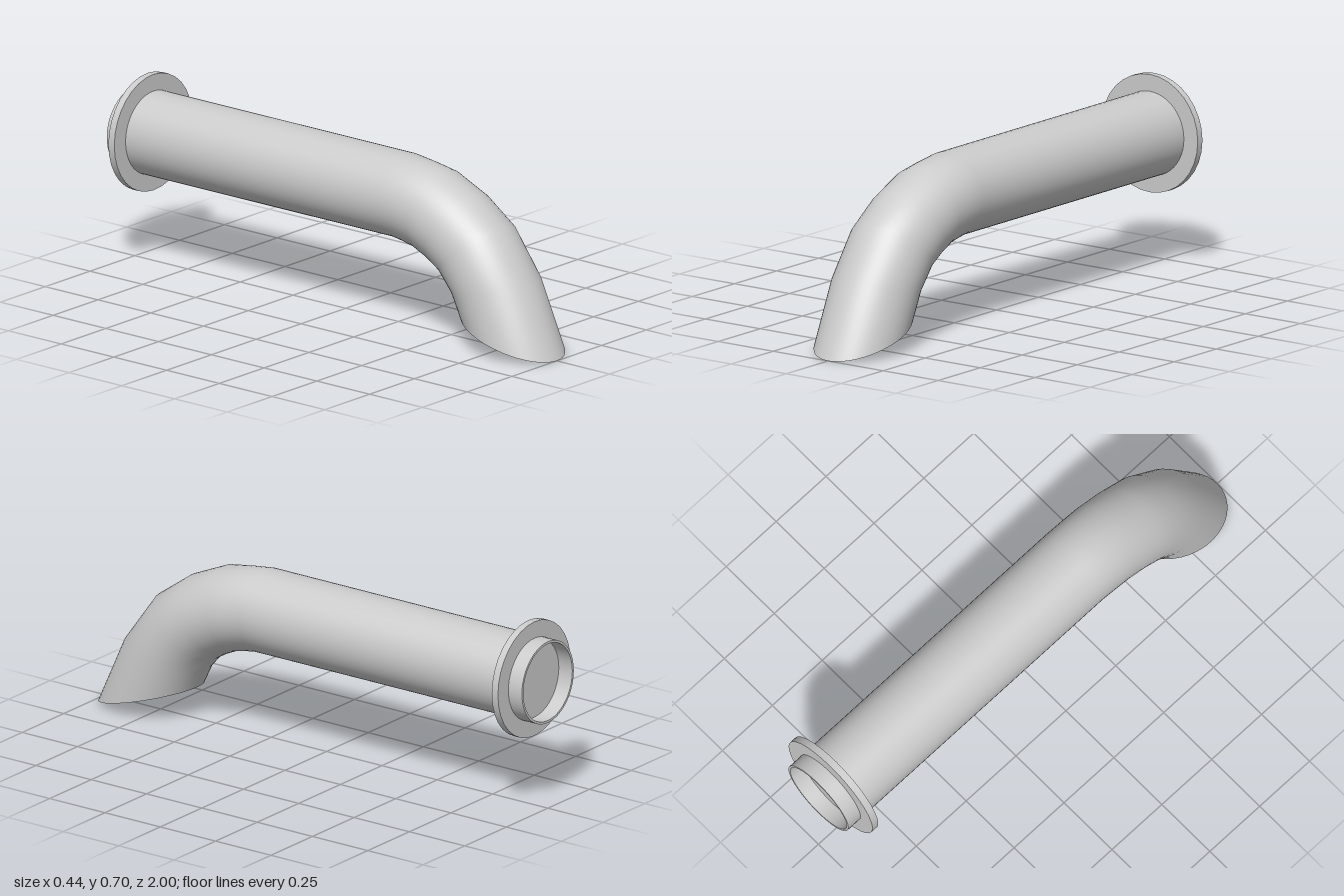
import * as THREE from 'three';

const SIDES = 48;
const WALL = 0.009;

// Cross-sections along the pipe: [top z, top y, bottom z, bottom y, half width]
const SECTIONS = [
  [-1, 0.64, -1, 0.328, 0.156],
  [0.28, 0.64, 0.28, 0.328, 0.156],
  [0.37, 0.628, 0.33, 0.32, 0.157],
  [0.466, 0.612, 0.385, 0.308, 0.158],
  [0.61, 0.548, 0.445, 0.281, 0.159],
  [0.744, 0.452, 0.497, 0.25, 0.16],
  [0.878, 0.268, 0.548, 0.193, 0.16],
  [1.0, 0.0, 0.584, 0.12, 0.16],
];

// One elliptical ring of points, shrunk inwards by inset
function ring([tz, ty, bz, by, w], inset) {
  const k = 1 - inset / w;
  const cz = (tz + bz) / 2, cy = (ty + by) / 2;
  const points = [];
  for (let i = 0; i < SIDES; i++) {
    const a = (i / SIDES) * Math.PI * 2;
    const c = Math.cos(a) * k / 2;
    points.push([Math.sin(a) * w * k, cy + (ty - by) * c, cz + (tz - bz) * c]);
  }
  return points;
}

// Smooth skin joining consecutive rings
function loft(rings) {
  const index = [];
  for (let r = 0; r < rings.length - 1; r++) {
    for (let i = 0; i < SIDES; i++) {
      const j = (i + 1) % SIDES;
      const a = r * SIDES + i, b = r * SIDES + j;
      index.push(a, a + SIDES, b, b, a + SIDES, b + SIDES);
    }
  }
  const geometry = new THREE.BufferGeometry();
  geometry.setAttribute('position', new THREE.Float32BufferAttribute(rings.flat(2), 3));
  geometry.setIndex(index);
  geometry.computeVertexNormals();
  return geometry;
}

export function createModel() {
  const model = new THREE.Group();
  model.name = 'bentPipe';
  const material = new THREE.MeshStandardMaterial({ color: 0xcccccc });
  const add = (name, geometry) => {
    const mesh = new THREE.Mesh(geometry, material);
    mesh.name = name;
    model.add(mesh);
    return mesh;
  };

  // Thin-walled pipe: outside, bore and the two rims
  const outer = SECTIONS.map((s) => ring(s, 0));
  const inner = SECTIONS.map((s) => ring(s, WALL));
  add('pipeOutside', loft(outer));
  add('pipeBore', loft([...inner].reverse()));
  add('spoutRim', loft([outer.at(-1), inner.at(-1)]));
  add('backRim', loft([inner[0], outer[0]]));

  // Solid flange disc, which also closes the bore near the back
  const flange = add('flange', new THREE.CylinderGeometry(0.219, 0.219, 0.028, 32));
  flange.rotation.x = Math.PI / 2;
  flange.position.set(0, 0.484, -0.925);

  return model;
}
